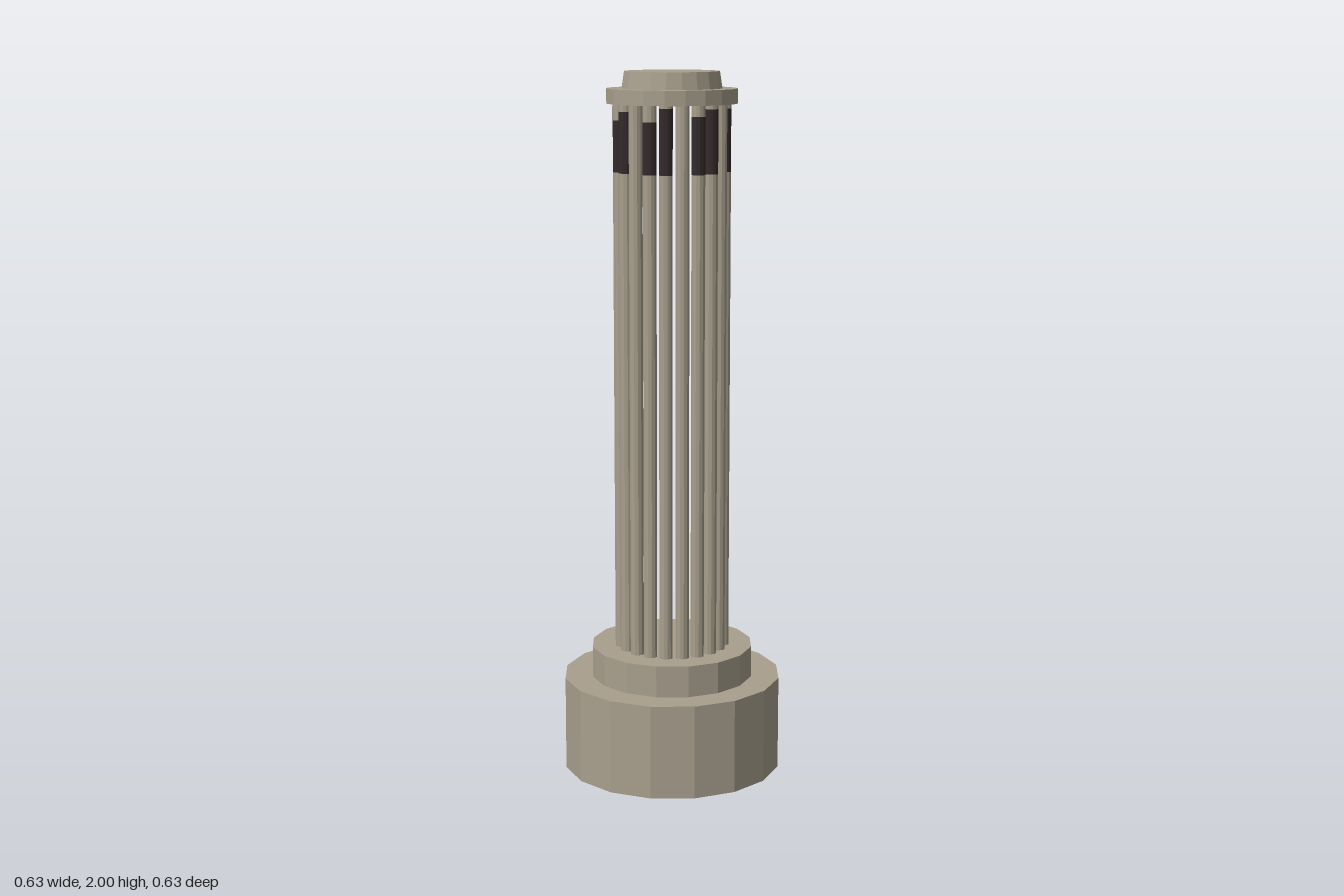
import * as THREE from 'three';

export function createModel() {
  const model = new THREE.Group();
  model.name = 'column';

  const stone = new THREE.MeshStandardMaterial({ color: 0xa89f8d, side: THREE.DoubleSide, flatShading: true });
  stone.name = 'weathered stone';
  const soot = new THREE.MeshStandardMaterial({ color: 0x332a2b, side: THREE.DoubleSide, flatShading: true });
  soot.name = 'dark soot';

  // Open half wall of a cylinder, starting one segment round from +x towards +z
  function halfWall(name, material, rTop, rBottom, y0, y1, sides, x = 0, z = 0) {
    const start = -Math.PI / 2 - (Math.PI * 2) / sides;
    const geo = new THREE.CylinderGeometry(rTop, rBottom, y1 - y0, sides / 2, 1, true, start, Math.PI);
    const mesh = new THREE.Mesh(geo, material);
    mesh.name = name;
    mesh.position.set(x, (y0 + y1) / 2, z);
    return mesh;
  }

  // Drum: half wall closed by a full disc on top
  function drum(name, rTop, rBottom, y0, y1, sides) {
    const group = new THREE.Group();
    group.name = name;
    const lid = new THREE.Mesh(new THREE.CircleGeometry(rTop, sides), stone);
    lid.name = name + 'Lid';
    lid.rotation.x = -Math.PI / 2;
    lid.position.y = y1;
    group.add(halfWall(name + 'Wall', stone, rTop, rBottom, y0, y1, sides), lid);
    model.add(group);
  }

  drum('plinth', 0.314, 0.314, 0, 0.27, 16);
  drum('upperStep', 0.233, 0.233, 0.27, 0.36, 16);
  drum('collar', 0.183, 0.183, 1.912, 1.953, 20);
  drum('crown', 0.133, 0.14, 1.953, 2, 20);

  // Ring of thin half-round reeds, most with a darkened band near the top
  const shaft = new THREE.Group();
  shaft.name = 'shaft';
  const ringRadius = 0.146, reedRadius = 0.0195;
  const plainReeds = [2, 5, 8];
  for (let i = 0; i <= 12; i++) {
    const a = (i * Math.PI) / 10;
    const x = Math.cos(a) * ringRadius, z = Math.sin(a) * ringRadius;
    const reed = (name, mat, y0, y1) =>
      shaft.add(halfWall(name, mat, reedRadius, reedRadius, y0, y1, 12, x, z));
    if (plainReeds.includes(i)) {
      reed('reed', stone, 0.36, 1.912);
    } else {
      const bandTop = 1.885 + 0.02 * Math.sin(i * 2.4);
      reed('reed', stone, 0.36, 1.725);
      reed('reedDarkBand', soot, 1.725, bandTop);
      reed('reedTip', stone, bandTop, 1.912);
    }
  }
  model.add(shaft);

  return model;
}
